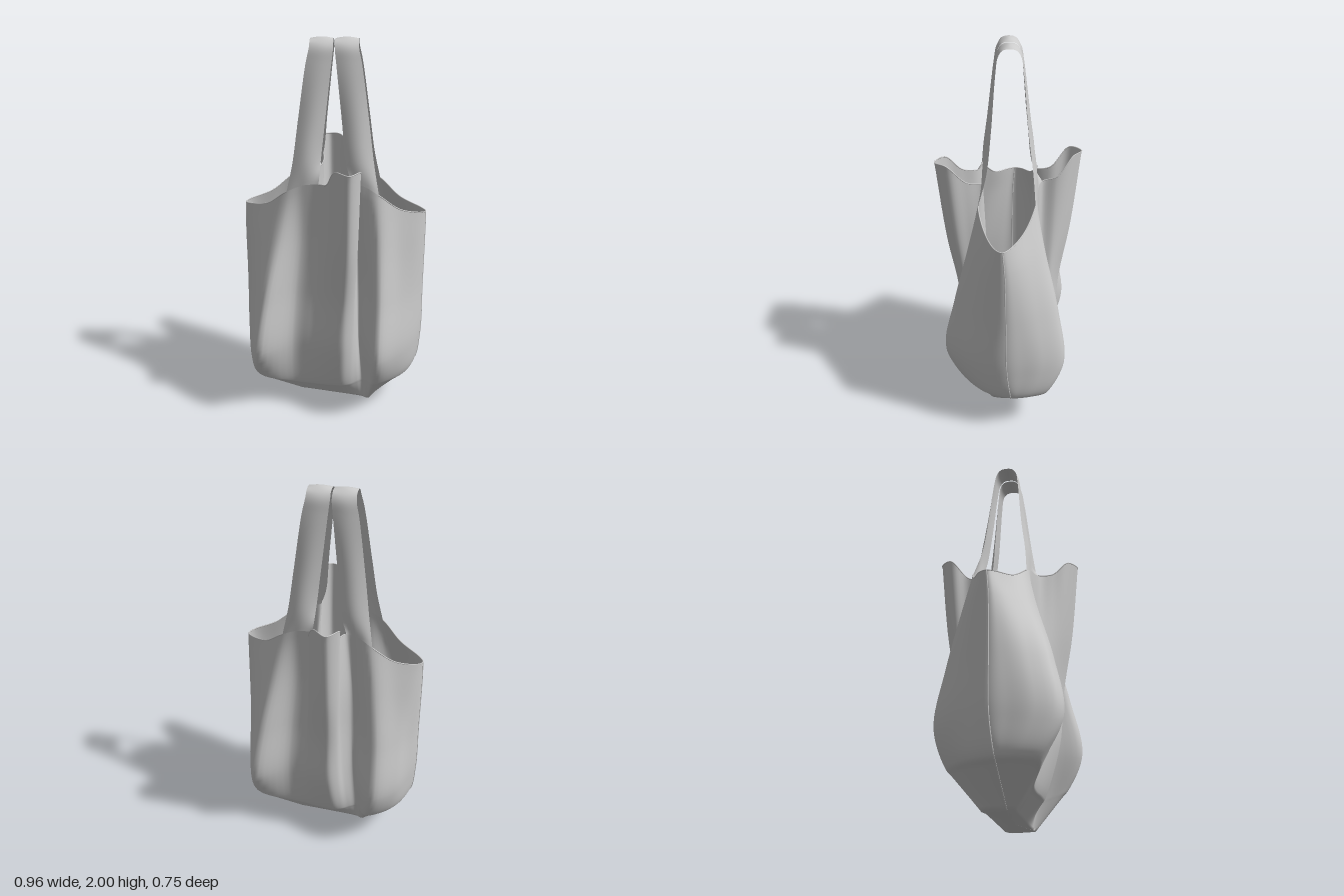
import * as THREE from 'three';

const V = (x, y, z) => new THREE.Vector3(x, y, z);
const material = new THREE.MeshStandardMaterial({ color: 0xcccccc, side: THREE.DoubleSide });

// Half cross-sections [x, z], from the left side seam round the front; the back half is nearly the same turned 180 degrees.
const base = [[.21, -.02], [.215, .03], [.21, .07], [.2, .1], [.185, .1], [.165, .09], [.14, .085], [.1, .08],
  [.05, .075], [0, .07], [-.05, .065], [-.1, .06], [-.15, .055], [-.19, .05], [-.21, .035], [-.215, .025]];
const corner = [[.45, 0], [.41, .12], [.33, .21], [.23, .27], [.19, .18], [.16, .12], [.13, .13], [.09, .15],
  [.05, .165], [0, .165], [-.06, .16], [-.13, .15], [-.22, .15], [-.4, .2], [-.44, .11], [-.45, .04]];
const belly = [[.475, .02], [.435, .135], [.345, .255], [.235, .345], [.18, .21], [.14, .12], [.12, .155], [.1, .205],
  [.06, .245], [0, .24], [-.06, .222], [-.13, .198], [-.22, .185], [-.385, .305], [-.445, .18], [-.465, .07]];
const waist = [[.475, .025], [.435, .115], [.35, .205], [.24, .29], [.18, .16], [.13, .11], [.115, .17], [.115, .235],
  [.07, .275], [.01, .25], [-.05, .215], [-.11, .18], [-.2, .16], [-.34, .265], [-.42, .15], [-.46, .05]];
const chest = [[.475, .03], [.442, .095], [.34, .16], [.235, .215], [.165, .145], [.12, .12], [.12, .2], [.13, .27],
  [.085, .325], [.02, .29], [-.035, .23], [-.09, .165], [-.17, .14], [-.28, .185], [-.38, .1], [-.455, .015]];
const rim = [[.473, .04], [.45, .076], [.34, .126], [.23, .155], [.155, .14], [.095, .135], [.115, .215], [.141, .31],
  [.09, .37], [.02, .32], [-.025, .24], [-.07, .165], [-.15, .14], [-.235, .125], [-.34, .07], [-.45, -.005]];
const cornerHeight = [.22, .22, .22, .22, .18, .15, .14, .13, .13, .13, .13, .13, .14, .21, .22, .22];
const rimHeight = [1.13, 1.135, 1.167, 1.25, 1.29, 1.3, 1.32, 1.42, 1.42, 1.42, 1.33, 1.305, 1.29, 1.25, 1.167, 1.135];

const STEP = 6;                       // samples between two columns
const HALF = 16, AROUND = 2 * HALF * STEP;

// Closed smooth loop; on the back the centre fold and the side bulges are shifted a little
function loop(section, height, foldShift = 0, bulgeShift = 0) {
  const front = section.map(([x, z], i) => V(x, Array.isArray(height) ? height[i] : height, z));
  const back = front.map((p, i) => {
    const inFold = i >= 6 && i <= 10, inBulge = [2, 3, 13, 14].includes(i);
    const shift = inFold ? foldShift : i === 2 || i === 3 ? -bulgeShift : 0;
    return V(-p.x + shift, p.y, -p.z * (inBulge ? 1 - 2 * bulgeShift : 1));
  });
  const curve = new THREE.CatmullRomCurve3([...front, ...back], true);
  return Array.from({ length: AROUND }, (_, i) => curve.getPoint(i / AROUND));
}

// Smooth surface through rows of points
function surface(rows, closed) {
  const n = rows[0].length, index = [];
  for (let j = 0; j < rows.length - 1; j++) {
    for (let i = 0; i < (closed ? n : n - 1); i++) {
      const k = (i + 1) % n;
      const a = j * n + i, b = j * n + k, c = a + n, d = b + n;
      index.push(a, c, b, b, c, d);
    }
  }
  const geometry = new THREE.BufferGeometry().setFromPoints(rows.flat());
  geometry.setIndex(index);
  geometry.computeVertexNormals();
  return geometry;
}

// Columns of points -> rows of points
const transpose = cols => cols[0].map((_, j) => cols.map(c => c[j]));

export function createModel() {
  const group = new THREE.Group();
  group.name = 'toteBag';
  const add = (name, geometry) => {
    const mesh = new THREE.Mesh(geometry, material);
    mesh.name = name;
    group.add(mesh);
  };

  // Folded cloth body: nearly straight panel from the tilted base to a tight corner, then a smooth curve up to the rim
  const foot = loop(base, 0).map(p => p.setY(.018 - .06 * p.x));
  const walls = [loop(corner, cornerHeight, .01, .015), loop(belly, .4, .03, .04), loop(waist, .7, .04, .035),
    loop(chest, 1, .045, .015), loop(rim, rimHeight, .045)];
  const columns = foot.map((p, i) => {
    const wall = walls.map(l => l[i]);
    return new THREE.CatmullRomCurve3([p, p.clone().lerp(wall[0], .8), ...wall]).getPoints(54);
  });
  const centre = foot.map(() => V(0, .012, 0));
  add('body', surface([centre, ...transpose(columns)], true));

  const top = walls[4];
  const rimPart = (from, to) => Array.from({ length: (to - from) * STEP + 1 }, (_, i) => top[(from * STEP + i) % AROUND]);
  const tube = (points, r) => new THREE.TubeGeometry(new THREE.CatmullRomCurve3(points), points.length * 2, r, 6);

  for (const [side, start, sign] of [['left', 0, 1], ['right', HALF, -1]]) {
    // Handle: from the front rim, over the top, down to the back rim, slightly cupped across its width
    const front = rimPart(start + 3, start + 5), back = rimPart(start + 27, start + 29).reverse();
    const strands = front.map((p, i) => {
      const w = i / (front.length - 1), cup = Math.sin(Math.PI * w);
      const x = (outer, inner) => sign * THREE.MathUtils.lerp(outer, inner, w);
      const half = s => [
        V(x(.203, .063), 1.4, s * (.114 + .02 * cup)), V(x(.176, .042), 1.6, s * (.09 + .018 * cup)),
        V(x(.136, .012), 1.88, s * (.066 + .008 * cup)), V(x(.12, .004), 1.955, s * (.054 + .006 * cup)),
        V(x(.118, .004), 1.984, s * (.034 + .004 * cup)),
      ];
      const path = [p, ...half(sign), V(x(.118, .004), 1.992 + .008 * cup, 0), ...half(-sign).reverse(), back[i]];
      return new THREE.CatmullRomCurve3(path).getPoints(80);
    });
    add(side + 'Handle', surface(transpose(strands), false));

    // Hems of the centre fold and the side opening, and the side seam
    add(side + 'FoldHem', tube(rimPart(start + 5, start + 11), .003));
    add(side + 'SideHem', tube(rimPart(start + 29, start + 35), .003));
    add(side + 'SideSeam', tube(columns[start * STEP], .003));
  }
  return group;
}
